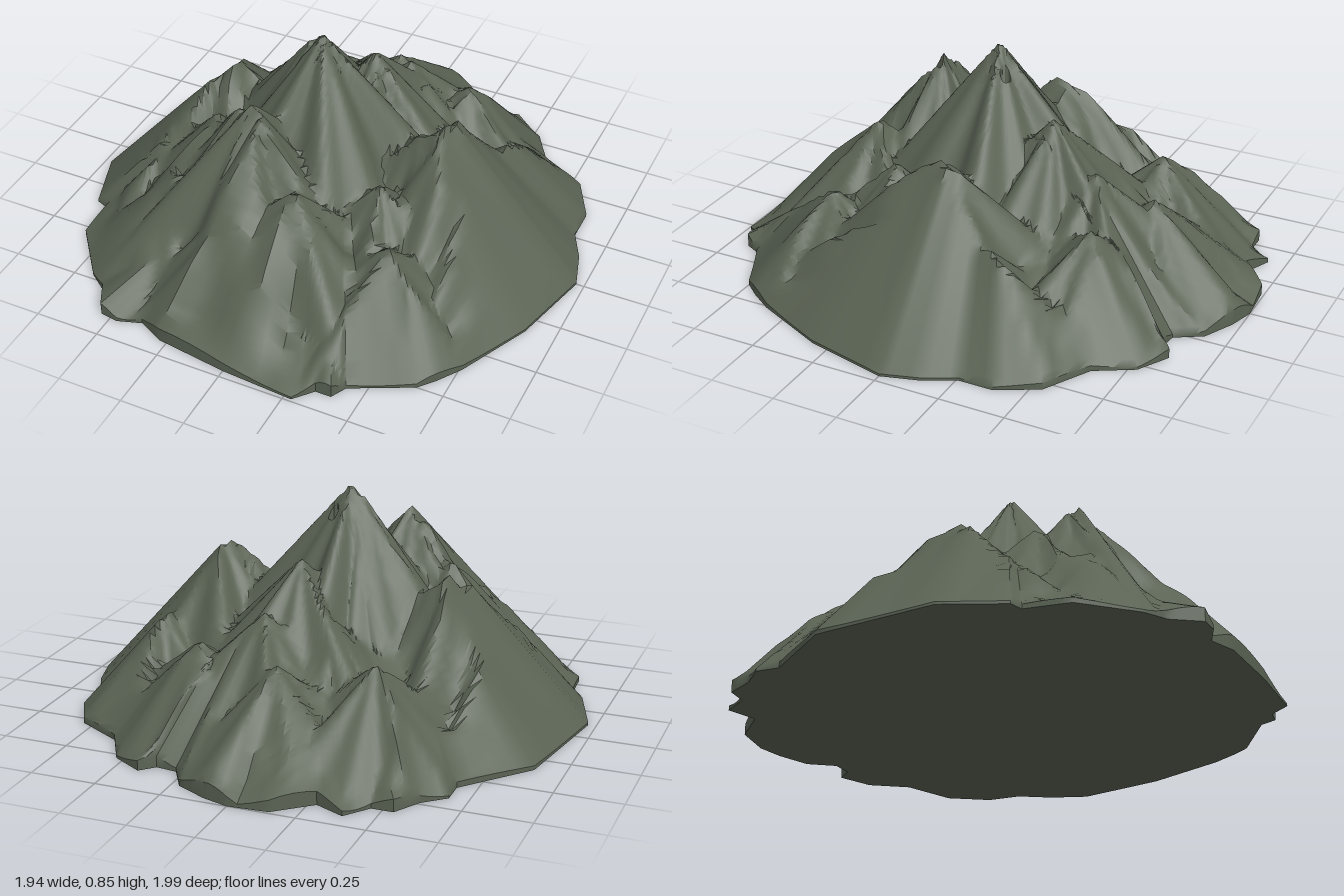
import * as THREE from 'three';
import { toCreasedNormals } from 'three/addons/utils/BufferGeometryUtils.js';

// Foot outline of the mountain, as x, z pairs
const OUTLINE = [
  0, -1, 0.1, -0.97, 0.22, -0.91, 0.28, -0.81, 0.36, -0.8, 0.41, -0.85, 0.53, -0.78, 0.61, -0.64,
  0.79, -0.54, 0.87, -0.39, 0.87, -0.26, 0.93, -0.14, 0.97, 0, 0.89, 0.32, 0.76, 0.6, 0.7, 0.69,
  0.65, 0.75, 0.43, 0.86, 0.4, 0.92, 0.34, 0.92, 0.28, 0.99, 0, 0.97, -0.28, 0.93, -0.38, 0.88,
  -0.47, 0.91, -0.54, 0.9, -0.6, 0.79, -0.68, 0.73, -0.83, 0.54, -0.84, 0.37, -0.89, 0.35, -0.97, 0.12,
  -0.89, -0.34, -0.68, -0.58, -0.68, -0.67, -0.6, -0.74, -0.54, -0.84, -0.46, -0.84, -0.39, -0.93,
  -0.28, -0.88, -0.15, -0.99,
];

// Peaks: x, z, height, steepness
const PEAKS = [
  [-0.05, 0.05, 0.86, 1.4], [-0.1, 0.05, 0.82, 1.6], [-0.18, 0.36, 0.71, 1.35], [-0.25, 0.34, 0.66, 1.5],
  [0.49, 0.04, 0.65, 1.15], [0.35, 0.05, 0.54, 1.2], [-0.48, -0.02, 0.61, 1.2], [-0.6, 0.06, 0.5, 1.2],
  [0.04, -0.22, 0.64, 1.15], [-0.38, 0.26, 0.54, 1.2], [0.06, 0.51, 0.5, 1.05], [0.3, 0.3, 0.46, 1.1],
  [-0.13, 0.57, 0.45, 1.1], [0.42, 0.5, 0.36, 0.9], [-0.45, 0.47, 0.38, 1], [-0.12, -0.32, 0.46, 1.1],
  [0.1, -0.42, 0.49, 1], [-0.02, -0.6, 0.37, 0.9], [-0.65, -0.2, 0.35, 1], [0.32, -0.5, 0.38, 0.9],
  [-0.35, -0.5, 0.38, 0.9], [0.62, -0.22, 0.4, 1], [0.62, 0.28, 0.37, 1], [-0.74, 0.18, 0.31, 1],
];

// Highest of all ridged cones, over a gentle skirt that falls to the rim
function heightAt(x, z, t, rim) {
  let h = rim + 0.5 * Math.min(1 - t, 0.65);
  PEAKS.forEach(([px, pz, top, steep], i) => {
    const dx = x - px, dz = z - pz, a = Math.atan2(dz, dx);
    const ridge = 1 + 0.13 * Math.sin(5 * a + i * 2.1) + 0.08 * Math.sin(9 * a + i);
    h = Math.max(h, top - steep * ridge * Math.hypot(dx, dz));
  });
  return Math.min(h, rim + 1.12 * (1 - t) * Math.hypot(x, z) / Math.max(t, 0.01));
}

export function createModel() {
  const group = new THREE.Group();
  const rock = new THREE.MeshStandardMaterial({ color: 0x5a6354 });
  rock.name = 'mossy rock';

  // Subdivided outline
  const SUB = 4, RINGS = 48, rimPts = [], n = OUTLINE.length / 2;
  for (let i = 0; i < n; i++) {
    const j = (i + 1) % n;
    for (let s = 0; s < SUB; s++) {
      const f = s / SUB;
      rimPts.push([
        THREE.MathUtils.lerp(OUTLINE[2 * i], OUTLINE[2 * j], f),
        THREE.MathUtils.lerp(OUTLINE[2 * i + 1], OUTLINE[2 * j + 1], f),
      ]);
    }
  }
  const N = rimPts.length;

  // Concentric rings from the middle to the rim, then one on the ground
  const pos = [0, heightAt(0, 0, 0.01, 0.05), 0], index = [];
  for (let r = 1; r <= RINGS + 1; r++) {
    const t = Math.min(r / RINGS, 1);
    rimPts.forEach(([ox, oz], i) => {
      const x = ox * t, z = oz * t;
      const rim = 0.01 + 0.055 * oz * oz * (0.5 + 0.5 * Math.sin(i * 0.45));
      pos.push(x, r > RINGS ? 0 : heightAt(x, z, t, rim), z);
    });
  }
  const at = (r, i) => (r === 0 ? 0 : 1 + (r - 1) * N + (i % N));
  for (let r = 0; r <= RINGS; r++) {
    for (let i = 0; i < N; i++) {
      index.push(at(r, i), at(r + 1, i + 1), at(r + 1, i));
      if (r > 0) index.push(at(r, i), at(r, i + 1), at(r + 1, i + 1));
    }
  }
  const slopes = new THREE.BufferGeometry();
  slopes.setAttribute('position', new THREE.Float32BufferAttribute(pos, 3));
  slopes.setIndex(index);
  const mountain = new THREE.Mesh(toCreasedNormals(slopes, 0.7), rock);
  mountain.name = 'mountainSlopes';
  group.add(mountain);

  // Flat underside
  const foot = new THREE.Shape(rimPts.map(([x, z]) => new THREE.Vector2(x, z)));
  const underside = new THREE.Mesh(new THREE.ShapeGeometry(foot).rotateX(Math.PI / 2), rock);
  underside.name = 'underside';
  group.add(underside);

  return group;
}
